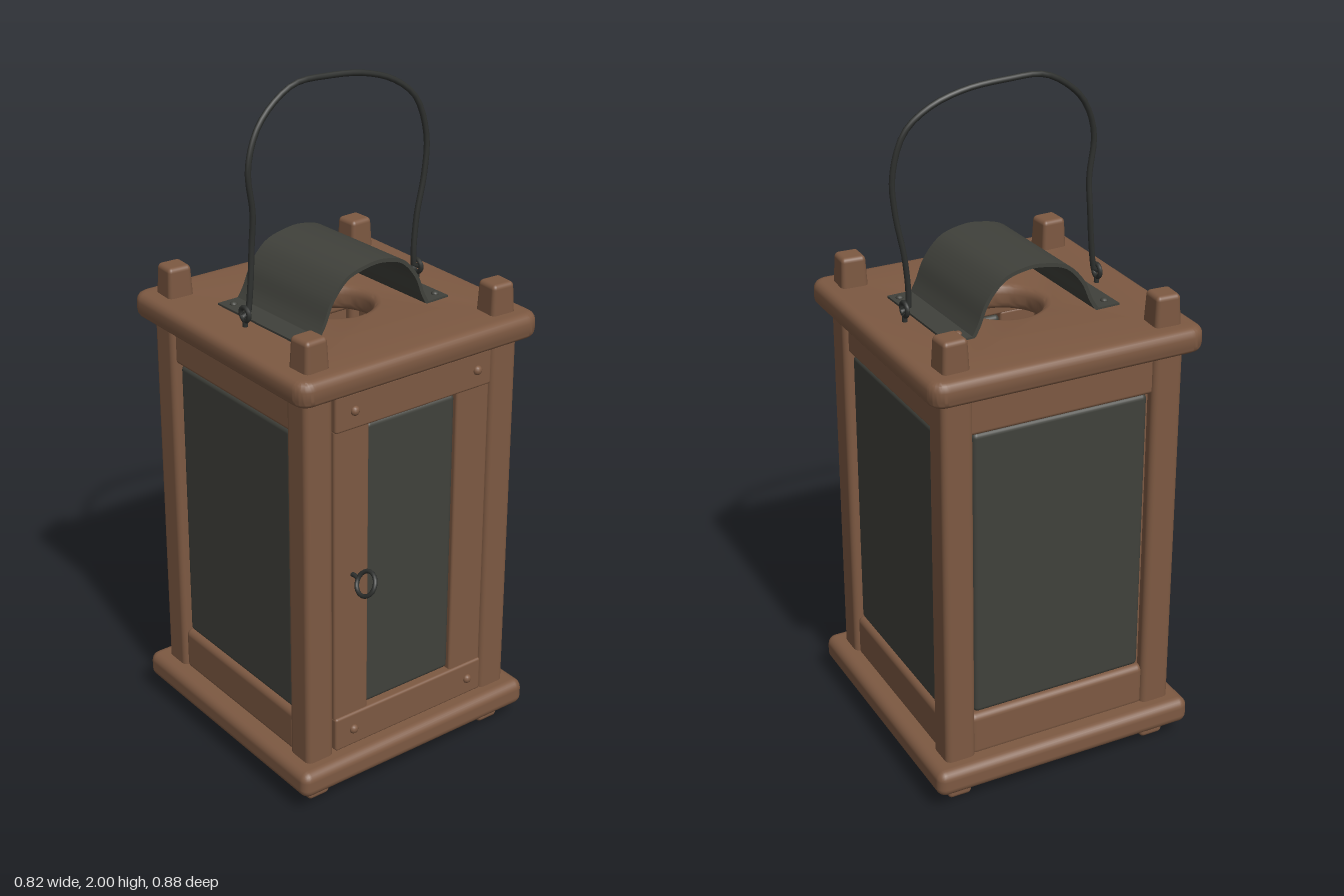
import * as THREE from 'three';
import { RoundedBoxGeometry } from 'three/addons/geometries/RoundedBoxGeometry.js';
import { toCreasedNormals } from 'three/addons/utils/BufferGeometryUtils.js';

const mat = (name, color, side = THREE.FrontSide) => {
  const m = new THREE.MeshStandardMaterial({ color, side });
  m.name = name;
  return m;
};

export function createModel() {
  const wood = mat('brown wood', 0x7d5942);
  const sheet = mat('dark grey sheet', 0x40413b);
  const iron = mat('dark iron', 0x2e302e);

  const root = new THREE.Group();
  root.name = 'lantern';
  const body = new THREE.Group();
  body.name = 'body';
  body.position.z = -0.027;
  root.add(body);

  const add = (name, geo, material, x = 0, y = 0, z = 0, parent = body) => {
    const m = new THREE.Mesh(geo, material);
    m.name = name;
    m.position.set(x, y, z);
    parent.add(m);
    return m;
  };
  // Rounded box given by its bounds in x and y, and its centre and depth in z
  const block = (name, material, x0, x1, y0, y1, z, d, r, parent) =>
    add(name, new RoundedBoxGeometry(x1 - x0, y1 - y0, d, 3, r), material,
      (x0 + x1) / 2, (y0 + y1) / 2, z, parent);
  const tube = (name, points, r, material, parent = body, closed = false) =>
    add(name, new THREE.TubeGeometry(
      new THREE.CatmullRomCurve3(points.map(p => new THREE.Vector3(...p)), closed), 56, r, 8, closed),
      material, 0, 0, 0, parent);

  // Base and lid boards
  block('baseBoard', wood, -0.412, 0.412, 0.06, 0.142, 0, 0.825, 0.028);
  const lidShape = new THREE.Shape();
  const a = 0.387, c = 0.025;
  lidShape.moveTo(-a + c, -a).lineTo(a - c, -a);
  lidShape.quadraticCurveTo(a, -a, a, -a + c).lineTo(a, a - c);
  lidShape.quadraticCurveTo(a, a, a - c, a).lineTo(-a + c, a);
  lidShape.quadraticCurveTo(-a, a, -a, a - c).lineTo(-a, -a + c);
  lidShape.quadraticCurveTo(-a, -a, -a + c, -a);
  const hole = new THREE.Path();
  hole.absarc(0, 0, 0.135, 0, Math.PI * 2, true);
  lidShape.holes.push(hole);
  const lidGeo = new THREE.ExtrudeGeometry(lidShape, {
    depth: 0.025, bevelThickness: 0.025, bevelSize: 0.025, bevelSegments: 4, curveSegments: 20,
  });
  lidGeo.rotateX(-Math.PI / 2);
  add('lidBoard', toCreasedNormals(lidGeo, 0.7), wood, 0, 1.302, 0);

  // Corner posts with tapered pegs through both boards
  const pegGeo = (h, flip) => {
    const g = new RoundedBoxGeometry(0.085, h, 0.085, 3, 0.014);
    const p = g.attributes.position;
    for (let i = 0; i < p.count; i++) {
      const s = 1 - 0.16 * (0.5 + flip * p.getY(i) / h);
      p.setX(i, p.getX(i) * s);
      p.setZ(i, p.getZ(i) * s);
    }
    return g;
  };
  for (const sx of [-1, 1]) for (const sz of [-1, 1]) {
    block('cornerPost', wood, sx * 0.32 - 0.046, sx * 0.32 + 0.046, 0.12, 1.31, sz * 0.32, 0.092, 0.018);
    const top = add('topPeg', pegGeo(0.14, 1), wood, sx * 0.32, 1.37, sz * 0.32);
    top.rotation.y = -sx * sz * 0.05;
    add('foot', pegGeo(0.12, -1), wood, sx * 0.32, 0.065, sz * 0.32);
  }

  // Side and back walls: two rails and a pane each
  for (const [name, angle] of [['leftWall', Math.PI / 2], ['rightWall', -Math.PI / 2], ['backWall', Math.PI]]) {
    const wall = new THREE.Group();
    wall.name = name;
    wall.rotation.y = angle;
    body.add(wall);
    block('topRail', wood, -0.285, 0.285, 1.155, 1.285, 0.325, 0.055, 0.012, wall);
    block('bottomRail', wood, -0.285, 0.285, 0.13, 0.268, 0.325, 0.06, 0.02, wall);
    block('paneBacking', wood, -0.285, 0.285, 0.25, 1.17, 0.318, 0.03, 0.008, wall);
    block('pane', sheet, -0.268, 0.268, 0.27, 1.155, 0.326, 0.04, 0.015, wall);
  }

  // Front door
  const door = new THREE.Group();
  door.name = 'door';
  body.add(door);
  block('doorTopRail', wood, -0.273, 0.267, 1.16, 1.27, 0.342, 0.06, 0.008, door);
  block('doorBottomRail', wood, -0.273, 0.267, 0.15, 0.258, 0.342, 0.06, 0.008, door);
  block('doorStileRight', wood, -0.273, -0.155, 0.25, 1.168, 0.338, 0.055, 0.008, door);
  block('doorStileLeft', wood, 0.15, 0.267, 0.25, 1.168, 0.338, 0.055, 0.008, door);
  block('doorPane', sheet, -0.157, 0.152, 0.262, 1.155, 0.336, 0.04, 0.014, door);
  for (const x of [-0.21, 0.215]) for (const y of [0.205, 1.215]) {
    const pin = add('doorPin', new THREE.SphereGeometry(0.014, 12, 8), wood, x, y, 0.373, door);
    pin.scale.z = 0.8;
  }

  // Pull ring, turned a little off vertical
  const pull = new THREE.Group();
  pull.name = 'pullRing';
  pull.position.set(-0.212, 0.713, 0.427);
  pull.rotation.z = -0.5;
  door.add(pull);
  add('ring', new THREE.TorusGeometry(0.035, 0.0065, 8, 28), iron, 0, 0, 0, pull).rotation.y = Math.PI / 2;
  tube('ringShank', [[0, 0, -0.035], [0, 0.002, -0.05], [0, 0, -0.07]], 0.007, iron, pull);

  // Arched smoke hood, open at both ends
  const hood = new THREE.Group();
  hood.name = 'smokeHood';
  hood.rotation.y = 0.035;
  body.add(hood);
  const arch = new THREE.SplineCurve([
    [-0.2, 1.358], [-0.18, 1.39], [-0.152, 1.45], [-0.1, 1.503], [-0.03, 1.523], [0.03, 1.525],
    [0.1, 1.505], [0.152, 1.45], [0.178, 1.39], [0.195, 1.358],
  ].map(p => new THREE.Vector2(...p))).getPoints(40);
  const outline = [new THREE.Vector2(-0.268, 1.358), ...arch, new THREE.Vector2(0.268, 1.358)];
  const t = 0.011;
  const inner = outline.map((p, i) => {
    const d = outline[Math.min(i + 1, outline.length - 1)].clone().sub(outline[Math.max(i - 1, 0)]).normalize();
    return new THREE.Vector2(p.x + d.y * t, p.y - d.x * t);
  });
  const hoodGeo = new THREE.ExtrudeGeometry(new THREE.Shape([...outline, ...inner.reverse()]),
    { depth: 0.36, bevelEnabled: false });
  add('hoodSheet', toCreasedNormals(hoodGeo, 0.6), sheet, 0, 0, -0.18, hood);
  for (const [x, z, m] of [[-0.24, -0.145, sheet], [0.22, -0.145, wood], [-0.225, 0.15, sheet], [0.245, 0.15, sheet]]) {
    add('hoodRivet', new THREE.SphereGeometry(0.011, 12, 8), m, x, 1.359, z, hood).scale.y = 0.7;
  }

  // Eyelets holding the carrying wire
  for (const x of [-0.3, 0.3]) {
    const eye = add('eyelet', new THREE.TorusGeometry(0.019, 0.007, 8, 20), iron, x, 1.388, 0);
    eye.rotation.y = Math.PI / 2;
    add('eyeletStem', new THREE.CylinderGeometry(0.008, 0.008, 0.04, 8), iron, x, 1.352, 0);
  }

  // Hand-bent carrying wire
  tube('handle', [
    [-0.312, 1.382, 0.004], [-0.296, 1.385, 0.004], [-0.284, 1.45, 0.003], [-0.272, 1.58, -0.002], [-0.27, 1.67, 0.003],
    [-0.283, 1.79, 0.004], [-0.25, 1.885, -0.005], [-0.19, 1.948, -0.014], [-0.11, 1.99, -0.02],
    [0, 1.992, -0.022], [0.12, 1.98, -0.018], [0.22, 1.945, -0.012], [0.29, 1.885, -0.004],
    [0.326, 1.77, 0], [0.32, 1.66, 0], [0.298, 1.54, -0.003], [0.288, 1.42, -0.002],
    [0.293, 1.385, -0.002], [0.312, 1.382, -0.002],
  ], 0.0085, iron);

  return root;
}
